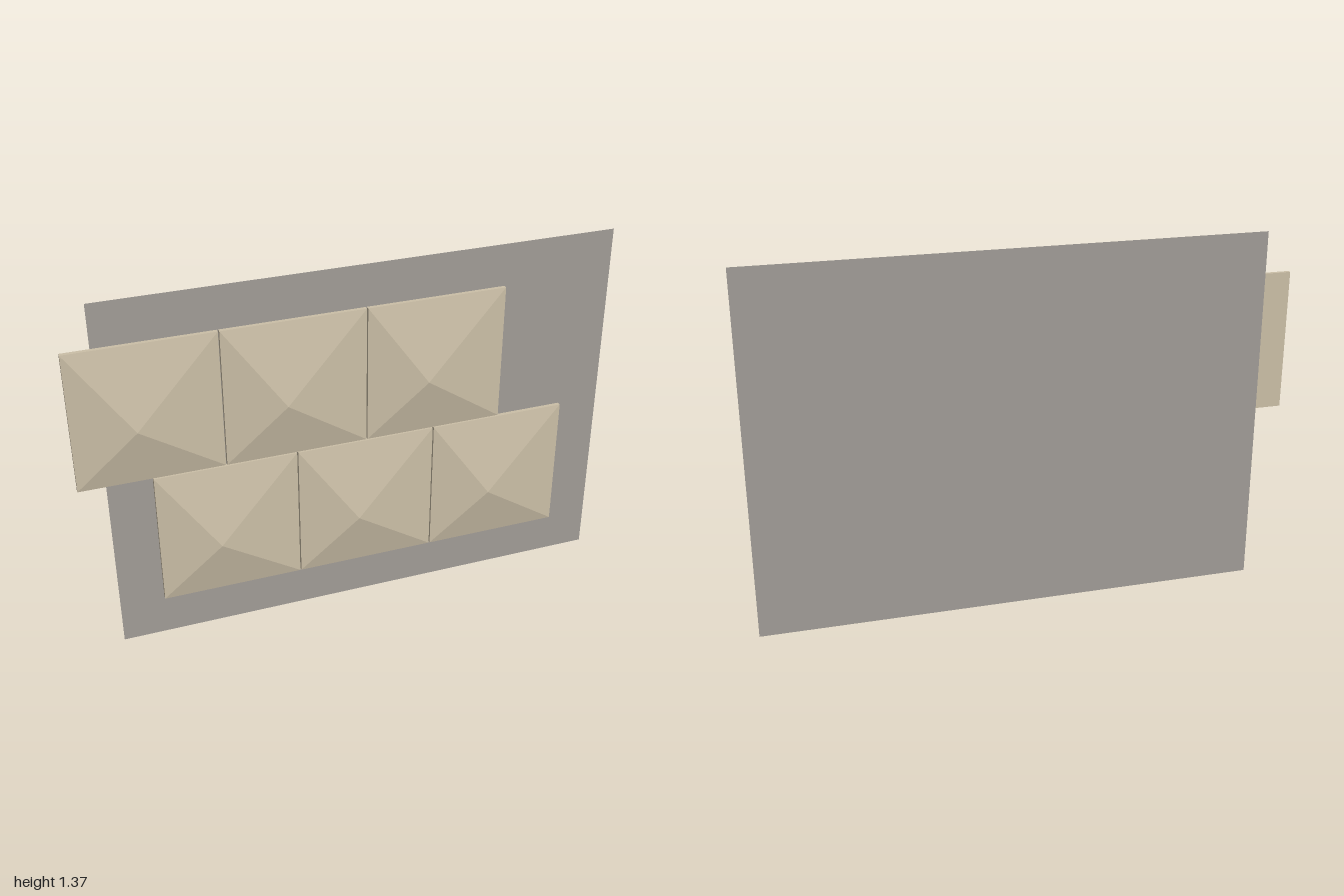
import * as THREE from 'three';

const SIZE = 0.522, PITCH = 0.5265;      // tile edge and spacing
const BACK = -0.029, RIM = -0.014, PEAK = 0.033;
const APEX = 0.217;                      // peak offset from the lower left corner

// Square slab with an off-centre pyramid on its front
function tileGeometry() {
  const s = SIZE;
  const corners = [[0, 0], [s, 0], [s, s], [0, s]];
  const back = corners.map(([x, y]) => [x, y, BACK]);
  const rim = corners.map(([x, y]) => [x, y, RIM]);
  const peak = [APEX, APEX, PEAK];
  const points = [];
  const tri = (...p) => points.push(...p.flat());
  for (let i = 0; i < 4; i++) {
    const j = (i + 1) % 4;
    tri(rim[i], rim[j], peak);           // sloping facet
    tri(back[i], back[j], rim[j]);       // side
    tri(back[i], rim[j], rim[i]);
  }
  tri(back[0], back[2], back[1]);        // back
  tri(back[0], back[3], back[2]);
  const g = new THREE.BufferGeometry();
  g.setAttribute('position', new THREE.Float32BufferAttribute(points, 3));
  g.computeVertexNormals();
  return g;
}

export function createModel() {
  const stone = new THREE.MeshStandardMaterial({ color: 0xcbbfa7 });
  stone.name = 'sandstone';
  const grey = new THREE.MeshStandardMaterial({ color: 0xa19c97, side: THREE.DoubleSide });
  grey.name = 'warm grey';

  const model = new THREE.Group();
  model.name = 'tiledWallPanel';

  // Flat backing sheet
  const panel = new THREE.Mesh(new THREE.PlaneGeometry(1.9, 1.37), grey);
  panel.name = 'backingPanel';
  panel.position.set(0.05, 0.685, -0.033);
  model.add(panel);

  // Two staggered rows of three tiles
  const geometry = tileGeometry();
  const rows = [
    { name: 'upperRow', x: -1, y: 0.69 },
    { name: 'lowerRow', x: -0.738, y: 0.163 },
  ];
  for (const { name, x, y } of rows) {
    const row = new THREE.Group();
    row.name = name;
    for (let i = 0; i < 3; i++) {
      const tile = new THREE.Mesh(geometry, stone);
      tile.name = `pyramidTile${i + 1}`;
      tile.position.set(x + i * PITCH, y, 0);
      row.add(tile);
    }
    model.add(row);
  }
  return model;
}
